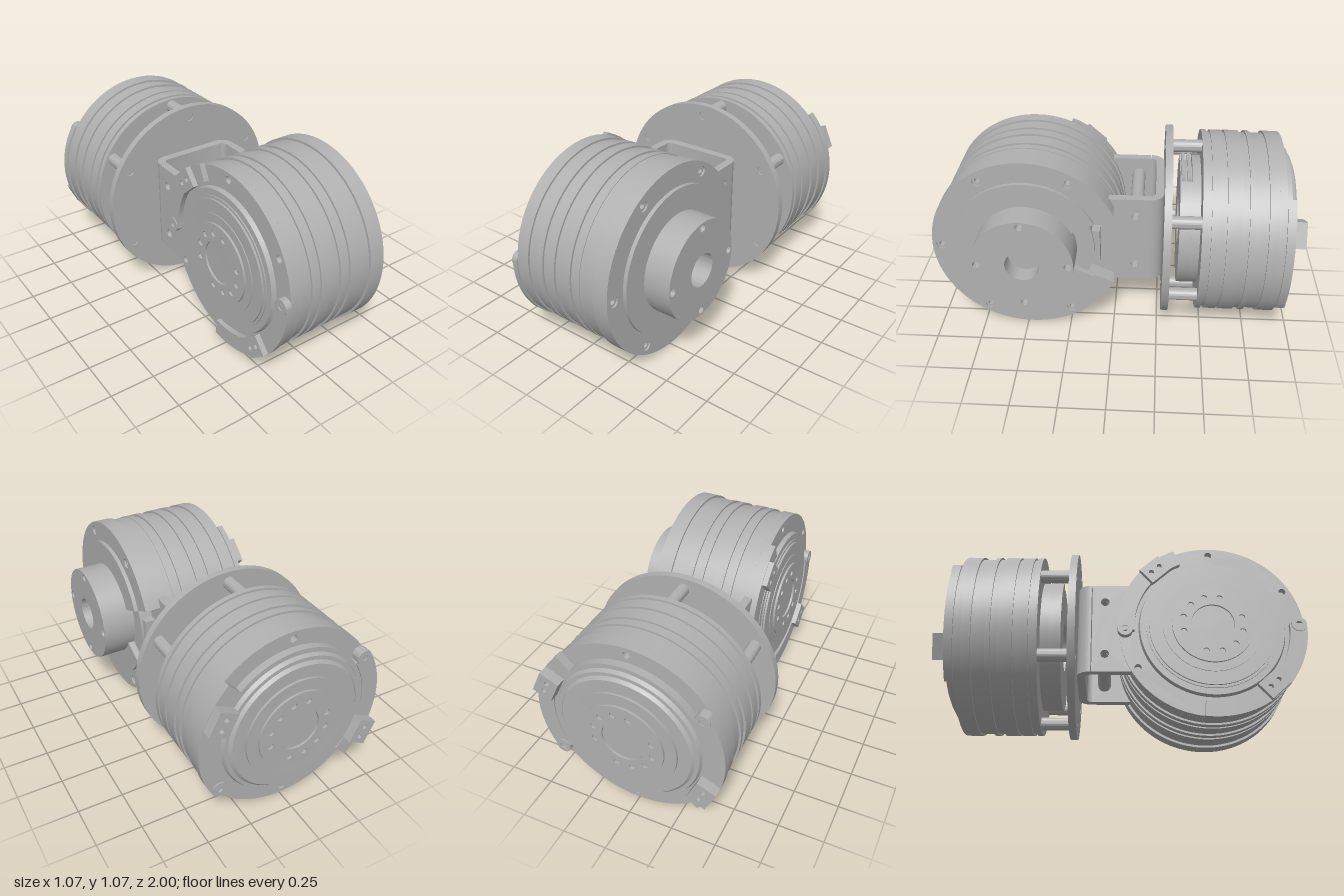
import * as THREE from 'three';
import { toCreasedNormals } from 'three/addons/utils/BufferGeometryUtils.js';

const metal = new THREE.MeshStandardMaterial({ color: 0xb0b0b0, side: THREE.DoubleSide });
metal.name = 'grey metal';
const CY = 0.538; // height of both motor axes
const rad = (d) => (d * Math.PI) / 180;
const polar = (r, deg) => [r * Math.cos(rad(deg)), r * Math.sin(rad(deg))];

function add(parent, name, geo, x = 0, y = 0, z = 0) {
  const m = new THREE.Mesh(geo, metal);
  m.name = name;
  m.position.set(x, y, z);
  parent.add(m);
  return m;
}

// Stepped solid of revolution about z; bands are [z0, z1, r0, r1 = r0]
function turned(bands) {
  const pts = [new THREE.Vector2(0, bands[0][0])];
  for (const [a, b, r, r1 = r] of bands) pts.push(new THREE.Vector2(r, a), new THREE.Vector2(r1, b));
  pts.push(new THREE.Vector2(0, bands[bands.length - 1][1]));
  return toCreasedNormals(new THREE.LatheGeometry(pts, 96).rotateX(Math.PI / 2), 0.5);
}

function hole(shape, x, y, r) {
  shape.holes.push(new THREE.Path().absarc(x, y, r, 0, Math.PI * 2, true));
}

// Extrusion of a shape between two z values
function slab(shape, z0, z1) {
  const g = new THREE.ExtrudeGeometry(shape, { depth: z1 - z0, bevelEnabled: false, curveSegments: 40 });
  return toCreasedNormals(g.translate(0, 0, z0), 0.5);
}

// Disc or ring with a circle of small holes
function ring(outer, inner, holeR, holeAt, angles) {
  const s = new THREE.Shape().absarc(0, 0, outer, 0, Math.PI * 2);
  if (inner) hole(s, 0, 0, inner);
  for (const a of angles) hole(s, ...polar(holeAt, a), holeR);
  return s;
}

// Part of a ring between two angles
function sector(outer, inner, a0, a1) {
  const s = new THREE.Shape();
  s.absarc(0, 0, outer, rad(a0), rad(a1), false);
  s.absarc(0, 0, inner, rad(a1), rad(a0), true);
  s.closePath();
  return s;
}

const every = (n, start = 0) => Array.from({ length: n }, (_, i) => start + (i * 360) / n);

// Raised and sunken bands from a list of edges
function ribs(edges) {
  return edges.slice(1).map((e, i) => [edges[i], e, i % 2 ? 0.505 : 0.516]);
}

// Rear end: drilled rim, stepped cover and bolt-circle plate. z = rim face, end = outermost face
function rearEnd(g, z, end, steps) {
  add(g, 'rearRim', slab(ring(0.516, 0.3, 0.02, 0.475, every(6, 30)), z, z + 0.04));
  const face = steps[0][0];
  add(g, 'rearCover', turned([[face, face + 0.001, 0.2], ...steps]));
  const bolts = every(12, 15).filter((_, i) => i !== 4 && i !== 10);
  add(g, 'rearBoltPlate', slab(ring(0.225, 0.12, 0.018, 0.167, bolts), end, face));
}

// Curved rim guard with a round lug at its start and a plug block
function rimGuard(g, a0, a1, plugAt, z0, z1, plugEnd) {
  add(g, 'rimGuard', slab(sector(0.525, 0.43, a0, a1), z0, z1));
  const [lx, ly] = polar(0.482, a0 + 1);
  add(g, 'guardLug', slab(ring(0.042, 0.018, 0, 0, []), z0 - 0.006, z1), lx, ly, 0);
  const s = new THREE.Shape();
  s.moveTo(-0.055, -0.07).lineTo(0.055, -0.07).lineTo(0.055, 0.07).lineTo(-0.055, 0.07).closePath();
  for (const y of [-0.03, 0.03]) hole(s, 0, y, 0.014);
  const [px, py] = polar(0.465, plugAt);
  add(g, 'plugBlock', slab(s, plugEnd, z0), px, py, 0).rotation.z = rad(plugAt);
}

function frontMotor() {
  const g = new THREE.Group();
  g.name = 'frontMotor';
  add(g, 'ribbedHousing', turned([
    ...ribs([-0.22, -0.185, -0.125, -0.085, -0.065, -0.005, 0.06, 0.10, 0.125, 0.16]),
    [0.16, 0.255, 0.512]]));
  add(g, 'innerDrum', turned([[0.25, 0.33, 0.37]]));
  // flange and cover are left open where the cables come out
  const flange = sector(0.525, 0.36, 25, 335);
  for (const a of [60, 120, 180, 240, 300]) hole(flange, ...polar(0.475, a), 0.028);
  add(g, 'frontFlange', slab(flange, 0.255, 0.345));
  for (const a of [60, 120, 180, 240, 300]) {
    const [x, y] = polar(0.475, a);
    add(g, 'flangeScrew', slab(ring(0.028, 0.015, 0, 0, []), 0.255, 0.335), x, y, 0);
  }
  add(g, 'frontCover', slab(sector(0.41, 0.25, 25, 335), 0.33, 0.367));
  add(g, 'cableBlock', new THREE.BoxGeometry(0.05, 0.2, 0.06), 0.375, 0, 0.285);
  add(g, 'outputHub', slab(ring(0.275, 0.093, 0.021, 0.245, every(4)), 0.33, 0.52));
  add(g, 'hubBoreFloor', turned([[0.33, 0.42, 0.094]]));

  rearEnd(g, -0.26, -0.32, [
    [-0.308, -0.303, 0.275], [-0.303, -0.292, 0.35], [-0.292, -0.285, 0.365],
    [-0.285, -0.2, 0.40, 0.425]]);
  rimGuard(g, 177, 277, 228, -0.29, -0.26, -0.32);
  rimGuard(g, -3, 67, 48, -0.29, -0.26, -0.32);
  g.rotation.y = Math.PI / 2;
  g.position.set(0, CY, 0.475);
  return g;
}

function rearMotor() {
  const g = new THREE.Group();
  g.name = 'rearMotor';
  add(g, 'ribbedHousing', turned([
    [-0.86, -0.835, 0.516],
    ...ribs([-0.835, -0.815, -0.75, -0.735, -0.655, -0.62, -0.595, -0.52, -0.495].reverse().map((v) => -1.33 - v)),
    [-0.495, -0.467, 0.516]]));
  add(g, 'innerDrum', turned([[-0.5, -0.42, 0.37]]));
  // drum face, notched at the top for the cable block
  add(g, 'drumFace', slab(sector(0.37, 0.14, 115, 425), -0.42, -0.355));
  add(g, 'drumFaceNotch', slab(sector(0.335, 0.14, 60, 120), -0.42, -0.355));
  for (const z of [-0.372, -0.404]) add(g, 'cableBlock', new THREE.BoxGeometry(0.3, 0.05, 0.018), 0, 0.325, z);
  rearEnd(g, -0.9, -1.0, [
    [-0.988, -0.975, 0.29], [-0.975, -0.96, 0.36, 0.375], [-0.96, -0.94, 0.395, 0.405],
    [-0.94, -0.85, 0.43]]);
  for (const t of [0, 180]) rimGuard(g, t - 33, t + 45, t + 25, -0.945, -0.9, -1.0);

  // mounting plate and its posts
  const posts = every(6, 30);
  add(g, 'mountingPlate', slab(ring(0.537, 0, 0.025, 0.472, posts), -0.31, -0.27));
  for (const a of posts) {
    const [x, y] = polar(0.472, a);
    add(g, 'post', turned([[-0.48, -0.309, 0.035], [-0.309, -0.277, 0.0248]]), x, y, 0);
  }
  g.position.y = CY;
  return g;
}

function bracket() {
  const g = new THREE.Group();
  g.name = 'bracket';
  const H = 0.265, W = 0.255, T = 0.046, holes = [0.16, -0.16];
  // bent back of the U, drawn in x and z and extruded upwards
  const u = new THREE.Shape();
  const R = 0.075, r = R - T;
  u.moveTo(-W, 0.19).absarc(-W + R, 0.27 - R, R, Math.PI, Math.PI / 2, true);
  u.absarc(W - R, 0.27 - R, R, Math.PI / 2, 0, true);
  u.lineTo(W, 0.19).lineTo(W - T, 0.19);
  u.absarc(W - R, 0.27 - R, r, 0, Math.PI / 2, false);
  u.absarc(-W + R, 0.27 - R, r, Math.PI / 2, Math.PI, false);
  u.lineTo(-W + T, 0.19).closePath();
  add(g, 'bracketBack', slab(u, -H, H).rotateX(-Math.PI / 2));
  // arms with bolt holes, drawn in z and y
  for (const side of [-1, 1]) {
    const s = new THREE.Shape();
    s.moveTo(-0.03, -H).lineTo(0.19, -H).lineTo(0.19, H).lineTo(-0.03, H).closePath();
    for (const y of holes) hole(s, 0.118, y, 0.024);
    const x0 = side > 0 ? W - T : -W;
    add(g, 'bracketArm', slab(s, x0, x0 + T).rotateY(Math.PI / 2));
  }
  // hollow spacers between the arms
  for (const y of holes) {
    add(g, 'spacer', slab(ring(0.038, 0.024, 0, 0, []), -W + T, W - T).rotateY(Math.PI / 2), 0, y, -0.122);
  }
  g.position.y = CY + 0.005;
  return g;
}

export function createModel() {
  const model = new THREE.Group();
  model.name = 'twinMotorJoint';
  model.add(frontMotor(), rearMotor(), bracket());
  return model;
}
